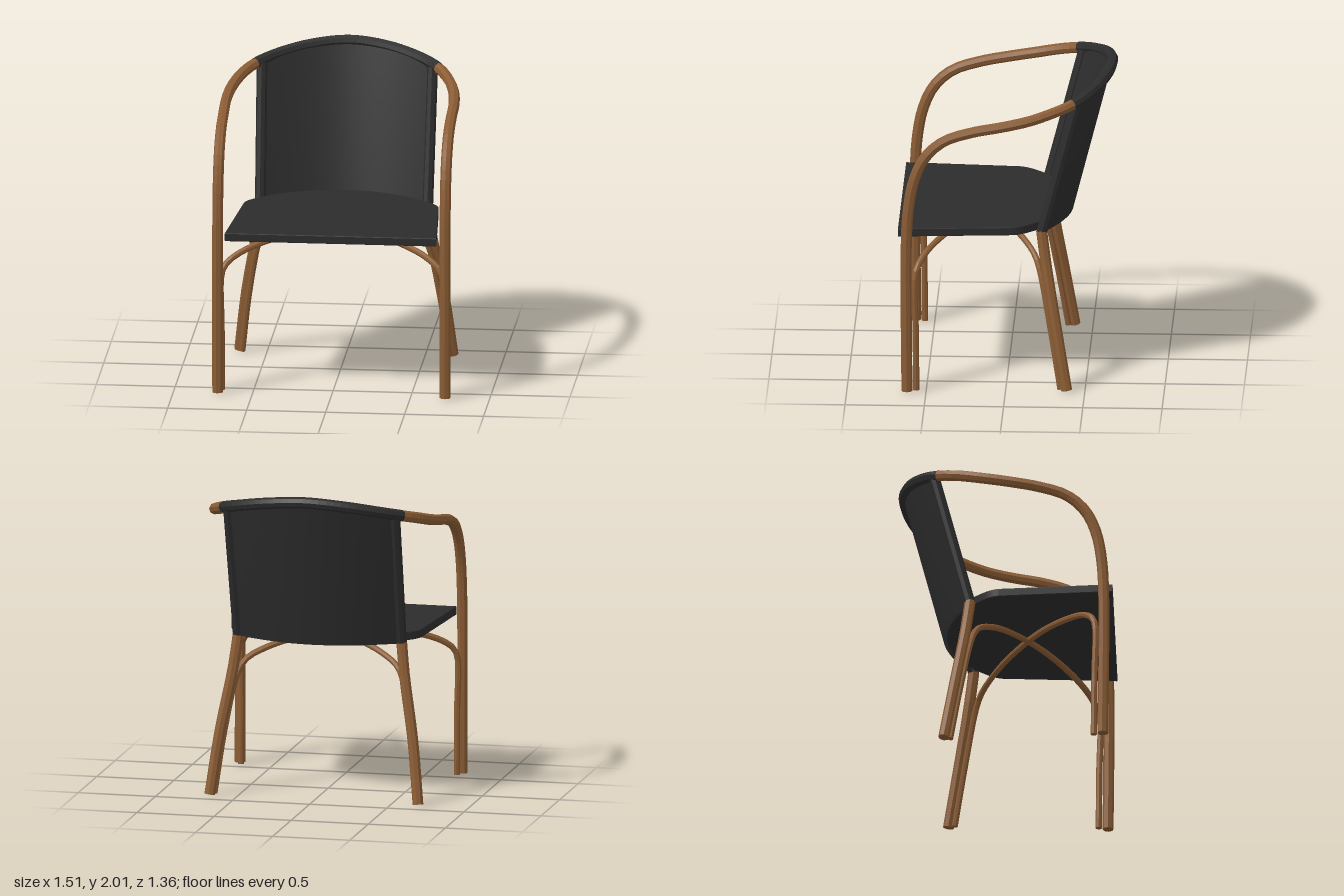
import * as THREE from 'three';

const wood = new THREE.MeshStandardMaterial({ color: 0x8a5c34, flatShading: true });
const dark = new THREE.MeshStandardMaterial({ color: 0x2c2c2c, flatShading: true });
const V = (x, y, z) => new THREE.Vector3(x, y, z);

// Stretch of another curve between two arc-length fractions
class Span extends THREE.Curve {
  constructor(base, a, b) { super(); this.base = base; this.a = a; this.b = b; }
  getPoint(t, target = new THREE.Vector3()) {
    return this.base.getPointAt(this.a + (this.b - this.a) * t, target);
  }
}

const spline = (pts) => new THREE.CatmullRomCurve3(pts.map((p) => V(...p)));

// Octagonal rod with closed ends
function rod(name, curve, radius, segments, material, sides = 8) {
  const geo = new THREE.TubeGeometry(curve, segments, radius, sides);
  const index = Array.from(geo.index.array);
  const last = segments * (sides + 1);
  for (let i = 1; i < sides - 1; i++) {
    index.push(0, i, i + 1);
    index.push(last, last + i + 1, last + i);
  }
  geo.setIndex(index);
  const mesh = new THREE.Mesh(geo, material);
  mesh.name = name;
  return mesh;
}

// Thin curved back panel, leaning from the seat up to the rail
function backPanel() {
  const nx = 24, ny = 1, half = 0.012, pos = [], index = [];
  const ring = [[0, half], [1, half], [1, -half], [0, -half]]; // [height, z offset]
  for (let i = 0; i <= nx; i++) {
    const s = -1 + (2 * i) / nx;
    const bow = Math.cos(s * 1.05), k = Math.cos(1.05);
    const b = (bow - k) / (1 - k);
    for (const [h, off] of ring) {
      const y = h ? 1.865 + 0.09 * b : 1.0;
      const z = h ? -0.45 - 0.185 * b : -0.22 - 0.17 * b;
      pos.push(s * (0.53 + 0.01 * h), y, z + off);
    }
  }
  for (let i = 0; i < nx; i++) {
    for (let j = 0; j < 4; j++) {
      const a = i * 4 + j, b = i * 4 + ((j + 1) % 4);
      index.push(a, a + 4, b, b, a + 4, b + 4);
    }
  }
  const geo = new THREE.BufferGeometry();
  geo.setAttribute('position', new THREE.Float32BufferAttribute(pos, 3));
  geo.setIndex(index);
  geo.computeVertexNormals();
  const material = dark.clone();
  material.flatShading = false;
  material.side = THREE.DoubleSide;
  const mesh = new THREE.Mesh(geo, material);
  mesh.name = 'backPanel';
  return mesh;
}

// Flat seat board; shape y is -z
function seat() {
  const e = 0.006;
  const s = new THREE.Shape();
  s.moveTo(-0.67 + e, -0.68 + e);
  s.lineTo(0.67 - e, -0.68 + e);
  s.lineTo(0.617 - e, 0.04);
  s.bezierCurveTo(0.6, 0.1, 0.55, 0.14, 0.5, 0.19);
  s.bezierCurveTo(0.34, 0.32, 0.17, 0.385, 0, 0.385);
  s.bezierCurveTo(-0.17, 0.385, -0.34, 0.32, -0.5, 0.19);
  s.bezierCurveTo(-0.55, 0.14, -0.6, 0.1, -0.617 + e, 0.04);
  s.closePath();
  const geo = new THREE.ExtrudeGeometry(s, {
    depth: 0.055 - 2 * e, bevelThickness: e, bevelSize: e, bevelSegments: 2, curveSegments: 10,
  });
  geo.rotateX(-Math.PI / 2).translate(0, 1.004 + e, 0);
  const mesh = new THREE.Mesh(geo, dark);
  mesh.name = 'seat';
  return mesh;
}

export function createModel() {
  const group = new THREE.Group();

  // One bent loop: front leg, arm, back rail, arm, front leg
  const side = [
    [0.72, 0, 0.62], [0.72, 0.5, 0.625], [0.72, 0.95, 0.625], [0.72, 1.2, 0.612],
    [0.72, 1.4, 0.575], [0.72, 1.55, 0.505], [0.72, 1.655, 0.39], [0.72, 1.715, 0.22],
    [0.72, 1.755, 0.02], [0.70, 1.79, -0.15], [0.655, 1.828, -0.29], [0.585, 1.862, -0.41],
    [0.47, 1.897, -0.51], [0.25, 1.943, -0.61],
  ];
  const mirrored = side.map(([x, y, z]) => [-x, y, z]).reverse();
  const loop = spline([...side, [0, 1.966, -0.648], ...mirrored]);
  loop.arcLengthDivisions = 800;
  let cut = 0;
  while (loop.getPointAt(cut).z > -0.415) cut += 0.001;
  group.add(rod('leftFrontLegAndArm', new Span(loop, 0, cut), 0.035, 44, wood));
  group.add(rod('rightFrontLegAndArm', new Span(loop, 1 - cut, 1), 0.035, 44, wood));
  group.add(rod('backRail', new Span(loop, cut, 1 - cut), 0.036, 28, dark));

  for (const m of [1, -1]) {
    const label = m > 0 ? 'left' : 'right';
    // Back leg and the upright that continues it
    const leg = spline([
      [m * 0.675, 0, -0.385], [m * 0.625, 0.4, -0.317], [m * 0.555, 0.8, -0.25], [m * 0.53, 1.01, -0.222],
    ]);
    group.add(rod(label + 'BackLeg', leg, 0.035, 10, wood));
    const post = new THREE.LineCurve3(V(m * 0.53, 1.0, -0.222), V(m * 0.54, 1.86, -0.445));
    group.add(rod(label + 'BackUpright', post, 0.034, 1, dark));

    // Arched brace: up a front leg, diagonally under the seat, down the opposite back leg
    const brace = spline([
      [0.7, 0, 0.562], [0.7, 0.4, 0.566], [0.7, 0.76, 0.57], [0.675, 0.82, 0.552],
      [0.58, 0.887, 0.495], [0.39, 0.945, 0.38], [0.11, 0.98, 0.2], [-0.21, 0.953, 0],
      [-0.37, 0.907, -0.1], [-0.49, 0.84, -0.175], [-0.535, 0.76, -0.208],
      [-0.605, 0.4, -0.278], [-0.655, 0, -0.345],
    ].map(([x, y, z]) => [m * x, y, z]));
    group.add(rod(label + 'Brace', brace, 0.02, 60, wood));
  }

  group.add(seat(), backPanel());
  return group;
}
